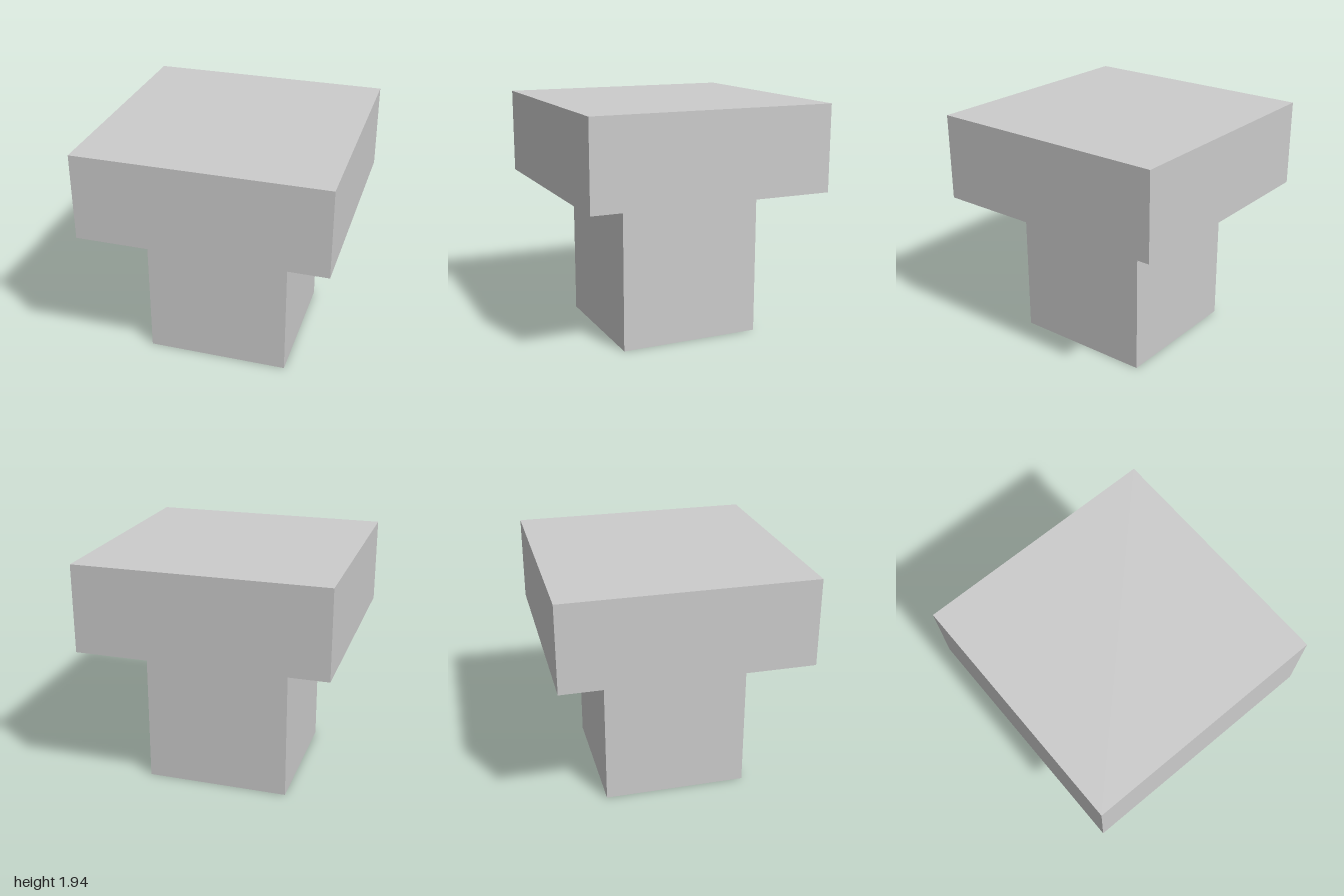
import * as THREE from 'three';

const material = new THREE.MeshStandardMaterial({ color: 0xcccccc, flatShading: true });

// Square block standing at height y
function block(name, width, height, y) {
  const mesh = new THREE.Mesh(new THREE.BoxGeometry(width, height, width), material);
  mesh.name = name;
  mesh.position.y = y + height / 2;
  return mesh;
}

export function createModel() {
  const group = new THREE.Group();
  group.name = 'pedestal';

  const unit = 1 / 17;
  // Cubic base, then a wide slab floating one unit above it
  group.add(block('base', 20 * unit, 20 * unit, 0));
  group.add(block('topSlab', 34 * unit, 12 * unit, 21 * unit));

  return group;
}
